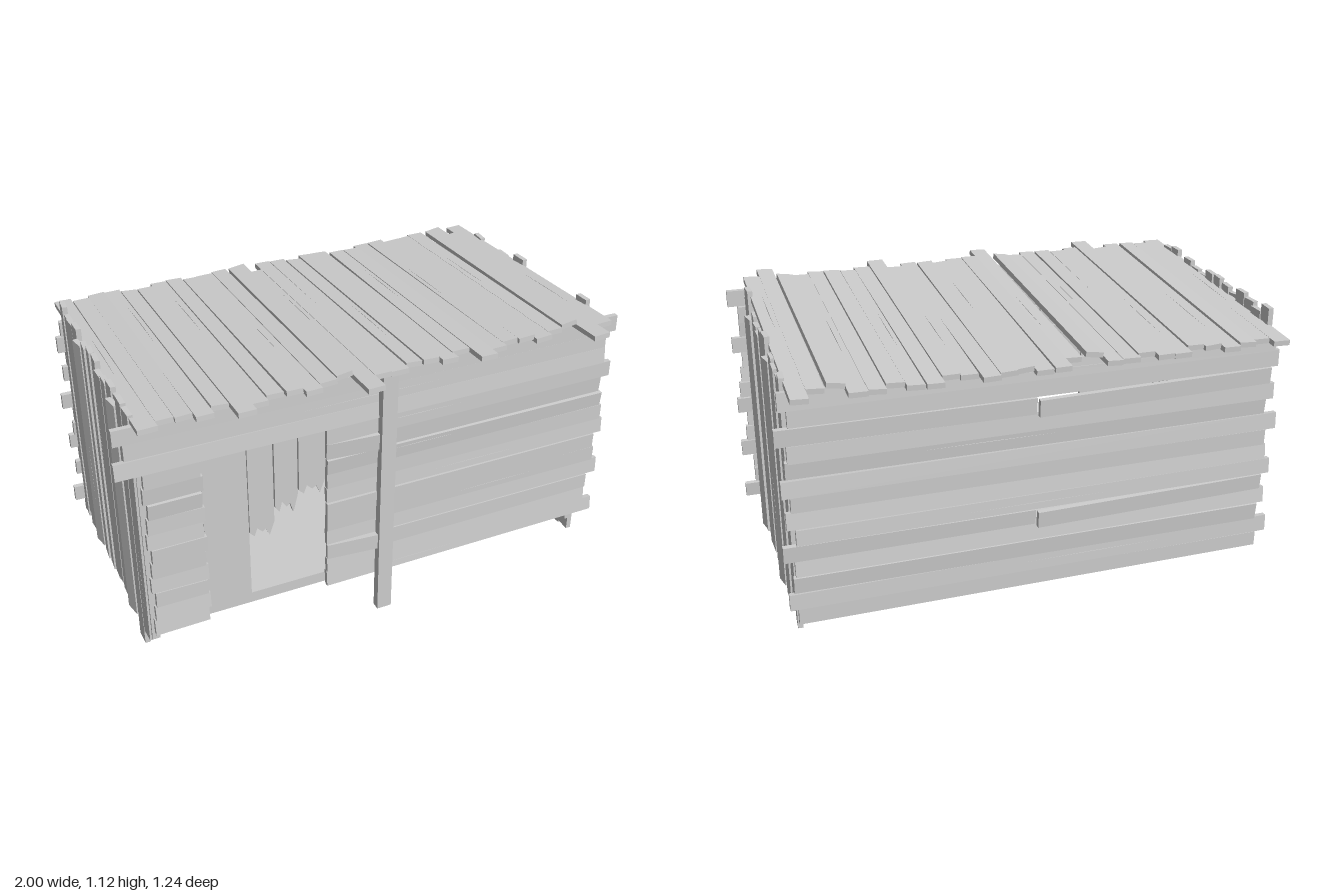
import * as THREE from 'three';

const mat = new THREE.MeshStandardMaterial({ color: 0xcccccc, flatShading: true, side: THREE.DoubleSide });

// small seeded random in -1..1
let seed = 7;
const rnd = () => {
  seed = (seed * 16807) % 2147483647;
  return (seed / 2147483647) * 2 - 1;
};

function extrude(points, thick, hole) {
  const shape = new THREE.Shape(points.map(([x, y]) => new THREE.Vector2(x, y)));
  if (hole) shape.holes.push(new THREE.Path(hole.map(([x, y]) => new THREE.Vector2(x, y))));
  const geo = new THREE.ExtrudeGeometry(shape, { depth: thick, bevelEnabled: false });
  return geo.translate(0, 0, -thick / 2);
}

// rough board: length on y, width on x, optionally with a thin split along the grain
function board(name, width, length, split = false, thick = 0.02) {
  const w = width / 2, l = length / 2, j = () => rnd() * 0.003;
  const outline = [[-w + j(), -l], [w + j(), -l], [w + j(), l], [-w + j(), l]];
  const cx = rnd() * w * 0.6, cy = rnd() * l * 0.45, h = l * 0.3;
  const hole = [[cx - 0.001, cy - h], [cx - 0.001, cy + h], [cx + 0.001, cy]];
  const mesh = new THREE.Mesh(extrude(outline, thick, split ? hole : null), mat);
  mesh.name = name;
  return mesh;
}

function group(name, parent) {
  const g = new THREE.Group();
  g.name = name;
  parent.add(g);
  return g;
}

// horizontal wall board from x0 to x1; kick pushes its +x end out along z
function wallBoard(parent, x0, x1, y, z, { roll = 0, tilt = 0, kick = 0, split = false } = {}) {
  const b = board('wallBoard', 0.065, x1 - x0, split);
  b.position.set((x0 + x1) / 2, y, z + kick / 2);
  b.rotation.set(roll, -kick / (x1 - x0), Math.PI / 2 + tilt);
  parent.add(b);
}

export function createModel() {
  seed = 7;
  const shed = new THREE.Group();
  shed.name = 'shed';

  // floor, raised above the lower edge of the walls
  const floor = new THREE.Mesh(new THREE.BoxGeometry(1.82, 0.045, 0.92), mat);
  floor.name = 'floor';
  floor.position.set(0, 0.1925, -0.014);
  shed.add(floor);

  // roof boards, sloping down to the back, one in fourteen lying on its neighbours
  const roof = group('roof', shed);
  const backEnd = [0.62, 0.59, 0.61, 0.62, 0.59, 0.58, 0.62, 0.62, 0.59, 0.61, 0.62, 0.58, 0.55, 0.62];
  const frontEnd = [0.54, 0.51, 0.52, 0.54, 0.5, 0.59, 0.54, 0.51, 0.52, 0.54, 0.51, 0.5, 0.62, 0.54];
  for (let i = 0; i < 28; i++) {
    const k = i % 14, f = frontEnd[k], r = backEnd[k], z = (f - r) / 2;
    const raised = k === 11;
    const slope = raised ? 0.052 : 0.061;
    const b = board('roofBoard', 0.065, f + r, i % 3 === 0);
    b.position.set(-0.888 + i * 0.0658, (raised ? 1.084 : 1.064 + (k % 3) * 0.003) + slope * z, z);
    b.rotation.set(-Math.PI / 2 - slope, raised ? -0.15 : rnd() * 0.08, rnd() * 0.003);
    roof.add(b);
  }

  // side walls of upright boards, listed front to back as [bottom, top]
  const sideSpans = [[0.07, 1.06], [0.055, 1.12], [0.1, 1.025], [0.07, 1.06], [0.08, 1.04], [0.1, 1.03], [0.07, 1.06],
    [0.07, 1.06], [0.08, 1.095], [0.1, 1.025], [0.07, 1.06], [0.08, 1.045], [0.1, 1.03], [0.07, 1.06]];
  for (const s of [1, -1]) {
    const wall = group(s > 0 ? 'leftWall' : 'rightWall', shed);
    sideSpans.forEach(([bottom, top], i) => {
      const lift = s > 0 || i === 1 ? 0 : 0.05;
      const y0 = bottom + lift, y1 = top + (i === 8 ? 0 : lift);
      const turned = i === 9 || i === 2;
      const b = board('sideBoard', 0.064, y1 - y0, i % 3 === 0);
      b.position.set(s * (turned ? 0.935 : 0.92 + (i % 3) * 0.003), (y0 + y1) / 2, 0.41 - i * 0.0655);
      b.rotation.y = Math.PI / 2 + (turned ? 0.2 : rnd() * 0.08);
      wall.add(b);
    });
    // narrow corner board
    const corner = board('cornerBoard', 0.03, 0.92);
    corner.position.set(s * 0.905, 0.59, 0.44);
    wall.add(corner);
  }

  // front wall with a doorway, two boards snapped behind the post
  const front = group('frontWall', shed);
  const frontRight = [0.995, 0.95, 0.95, 0.995, 0.97, 0.96, 0.995, 0.98, 0.97, 0.96, 0.995, 0.96, 0.96, 0.998];
  const topLeft = [-1, -0.96, -0.995];
  frontRight.forEach((x1, i) => {
    const y = 0.197 + i * 0.0655, z = 0.459 + (i % 3) * 0.003;
    const roll = rnd() * 0.1, tilt = rnd() * 0.002;
    if (i >= 11) {
      wallBoard(front, topLeft[i - 11], x1, y, z, { roll, split: i === 12 });
      return;
    }
    if (i === 9 || i === 2) {
      wallBoard(front, -0.22, 0.03, y, z, { roll, kick: 0.022 });
      wallBoard(front, 0.03, x1, y, z, { roll });
    } else {
      wallBoard(front, -0.22, x1, y, z, { roll, tilt, split: i % 2 === 0 });
    }
    wallBoard(front, -0.91 + (i % 3) * 0.006, -0.7 + (i % 2) * 0.008, y, z, { roll });
  });

  // back wall, with two snapped boards
  const back = group('backWall', shed);
  const backOut = [0.93, 0.96, 0.94, 0.93, 0.97, 0.92, 0.95];
  for (let i = 0; i < 14; i++) {
    const y = 0.133 + i * 0.0652, z = -0.486 - (i % 3) * 0.003;
    const x0 = -backOut[(i + 3) % 7], x1 = backOut[i % 7], roll = rnd() * 0.1;
    if (i === 11 || i === 4) {
      wallBoard(back, x0, 0.02, y, z, { roll, kick: -0.03 });
      wallBoard(back, 0.02, x1, y, z, { roll });
    } else {
      wallBoard(back, x0, x1, y, z, { roll, tilt: rnd() * 0.002, split: i % 4 === 1 });
    }
  }

  // broken door: one whole panel, then boards snapped off with jagged ends
  const door = group('door', shed);
  const panels = [[-0.695, -0.525, 0.215, 0], [-0.522, -0.425, 0.5, 0.03], [-0.42, -0.33, 0.585, 0.04], [-0.325, -0.22, 0.635, 0.03]];
  const jags = [0.1, -0.5, 0.6, -0.1, 0.2, -0.9, 1];
  for (const [x0, x1, y0, depth] of panels) {
    const pts = [[x1, 0.89], [x0, 0.89]];
    [0, 0.18, 0.3, 0.5, 0.65, 0.8, 1].forEach((t, i) => pts.push([x0 + (x1 - x0) * t, y0 + jags[i] * depth]));
    const m = new THREE.Mesh(extrude(pts, 0.018), mat);
    m.name = 'doorBoard';
    m.position.z = 0.445;
    door.add(m);
  }
  const rail = board('doorRail', 0.04, 0.48, false, 0.015);
  rail.position.set(-0.46, 0.78, 0.428);
  rail.rotation.z = Math.PI / 2;
  door.add(rail);

  // tall prop in front
  const post = new THREE.Mesh(new THREE.BoxGeometry(0.06, 1.08, 0.034), mat);
  post.name = 'frontPost';
  post.position.set(0.014, 0.54, 0.488);
  shed.add(post);

  return shed;
}
